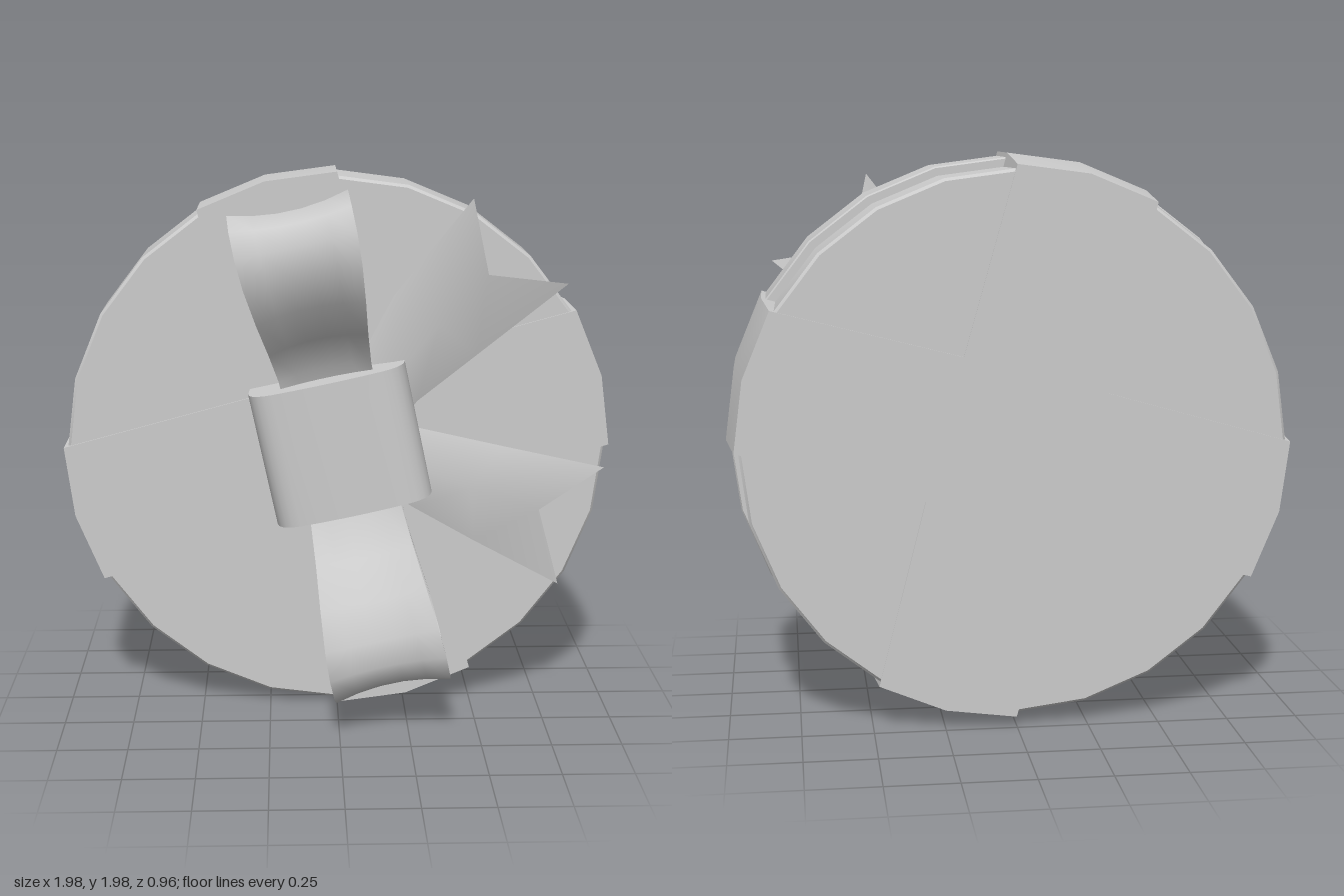
import * as THREE from 'three';
import { toCreasedNormals } from 'three/addons/utils/BufferGeometryUtils.js';

const SIDES = 24, CY = 1;
const material = new THREE.MeshStandardMaterial({ color: 0xcccccc });
const thin = new THREE.MeshStandardMaterial({ color: 0xcccccc, side: THREE.DoubleSide });

function add(parent, name, geometry, crease = 0.6, mat = material) {
  const mesh = new THREE.Mesh(toCreasedNormals(geometry, crease), mat);
  mesh.name = name;
  parent.add(mesh);
  return mesh;
}

// Skin a grid of points; each row may close on itself
function skin(rows, closed = false) {
  const n = rows[0].length, index = [];
  for (let r = 0; r < rows.length - 1; r++) {
    for (let c = 0; c < (closed ? n : n - 1); c++) {
      const d = (c + 1) % n, a = r * n + c, b = r * n + d;
      index.push(a, b, a + n, b, b + n, a + n);
    }
  }
  const g = new THREE.BufferGeometry();
  g.setAttribute('position', new THREE.Float32BufferAttribute(rows.flat(2), 3));
  g.setIndex(index);
  g.computeVertexNormals();
  return g;
}

// Round part turned about the z axis, profile as [radius, z]
function drum(profile) {
  return new THREE.LatheGeometry(profile.map(p => new THREE.Vector2(...p)), SIDES)
    .rotateX(Math.PI / 2).translate(0, CY, 0);
}

// Cross of two bands that wraps the box, following its facets
function wrapGeometry() {
  const shape = new THREE.Shape(), R = 0.992, step = Math.PI / 12;
  const inner = R * Math.sin(step) * Math.SQRT2;
  for (let k = 0; k < 4; k++) {
    const start = k * Math.PI / 2;
    for (let i = 0; i < 3; i++) {
      const a = start + i * step;
      const p = [R * Math.cos(a), R * Math.sin(a)];
      if (k + i === 0) shape.moveTo(...p); else shape.lineTo(...p);
    }
    const a = start + step + Math.PI / 4;
    shape.lineTo(inner * Math.cos(a), inner * Math.sin(a));
  }
  shape.closePath();
  const g = new THREE.ExtrudeGeometry(shape, { depth: 0.555, steps: 2, bevelEnabled: false });
  g.translate(0, 0, -0.482);
  // The band ends draw in toward the back
  const p = g.attributes.position;
  for (let i = 0; i < p.count; i++) {
    if (p.getZ(i) < -0.4 && Math.hypot(p.getX(i), p.getY(i)) > 0.6) {
      p.setXY(i, p.getX(i) * 0.967, p.getY(i) * 0.967);
    }
  }
  return g.translate(0, CY, 0);
}

// Teardrop bow loop: a thick strip with a slightly hollow middle
function loopGeometry() {
  const path = [[0.15, 0.09], [0.4, 0.09], [0.65, 0.09], [0.78, 0.12], [0.85, 0.21], [0.88, 0.34],
    [0.84, 0.425], [0.76, 0.46], [0.66, 0.455], [0.53, 0.39], [0.4, 0.28], [0.28, 0.18], [0.15, 0.15]];
  const across = [-1, -0.6, -0.2, 0.2, 0.6, 1], half = 0.018;
  const rows = path.map(([v, z], i) => {
    const a = path[Math.max(i - 1, 0)], b = path[Math.min(i + 1, path.length - 1)];
    const len = Math.hypot(b[0] - a[0], b[1] - a[1]);
    const nv = (b[1] - a[1]) / len, nz = (a[0] - b[0]) / len;
    const width = 0.165 + 0.045 * THREE.MathUtils.smoothstep(v, 0.2, 0.8);
    const hollow = z > 0.13 ? 0.03 : 0;
    const point = (s, side) => {
      const off = side * half - hollow * (1 - s * s);
      return [s * width, v + nv * off, z + nz * off];
    };
    return [...across.map(s => point(s, 1)), ...across.slice().reverse().map(s => point(s, -1))];
  });
  return skin(rows.reverse(), true);
}

// Knot: arched band across the bow
function knotGeometry() {
  const s = new THREE.Shape();
  s.moveTo(-0.28, -0.07);
  s.lineTo(0.28, -0.07);
  s.lineTo(0.285, -0.16);
  s.quadraticCurveTo(0.28, -0.245, 0.2, -0.26);
  s.quadraticCurveTo(0, -0.285, -0.2, -0.26);
  s.quadraticCurveTo(-0.28, -0.245, -0.285, -0.16);
  s.closePath();
  return new THREE.ExtrudeGeometry(s, { depth: 0.49, bevelEnabled: false, curveSegments: 5 })
    .translate(0, 0, -0.245).rotateX(-Math.PI / 2).scale(1, 1, 1);
}

export function createModel() {
  const model = new THREE.Group();
  model.name = 'roundGiftBox';

  // Box body and overlapping lid
  add(model, 'boxBase', drum([[0, -0.478], [0.935, -0.478], [0.945, -0.468], [0.945, -0.15]]), 0.5);
  add(model, 'boxLid', drum([[0.9, -0.208], [0.972, -0.208], [0.977, -0.2], [0.977, 0.055],
    [0.967, 0.066], [0, 0.066]]), 0.5);
  add(model, 'wrappingRibbon', wrapGeometry(), 0.5);

  // Tilted bow
  const bow = new THREE.Group();
  bow.name = 'bow';
  bow.position.set(0.01, 1.033, 0);
  bow.rotation.z = THREE.MathUtils.degToRad(12);
  model.add(bow);
  add(bow, 'upperLoop', loopGeometry(), 0.9);
  add(bow, 'lowerLoop', loopGeometry(), 0.9).rotation.z = Math.PI;
  // Knot section is drawn in x and -z, so turn it to face the front
  add(bow, 'knot', knotGeometry().rotateX(Math.PI).scale(1, 1, 1).rotateX(0), 0.7).rotation.set(0, 0, 0);
  const knot = bow.getObjectByName('knot');
  knot.geometry.computeBoundingBox();
  const box = knot.geometry.boundingBox;
  // Stand the knot upright on the bow axis
  if (box.max.z < 0 || box.max.y - box.min.y < 0.4) knot.rotation.x = Math.PI;

  // Folded, notched tails: rows of edge, ridge, edge
  add(model, 'upperTail', skin([
    [[0.06, 1.22, 0.08], [0.12, 1.14, 0.12], [0.2, 1.06, 0.08]],
    [[0.1, 1.36, 0.09], [0.2, 1.27, 0.14], [0.29, 1.17, 0.085]],
    [[0.2, 1.56, 0.12], [0.36, 1.46, 0.16], [0.5, 1.34, 0.1]],
    [[0.47, 1.91, 0.2], [0.53, 1.64, 0.175], [0.82, 1.6, 0.125]],
  ]), 1, thin);
  add(model, 'lowerTail', skin([
    [[0.15, 1.1, 0.08], [0.15, 1.0, 0.11], [0.15, 0.85, 0.08]],
    [[0.3, 1.07, 0.09], [0.3, 0.93, 0.13], [0.28, 0.77, 0.085]],
    [[0.6, 1.01, 0.13], [0.48, 0.86, 0.16], [0.5, 0.65, 0.11]],
    [[0.96, 0.94, 0.175], [0.73, 0.78, 0.165], [0.81, 0.49, 0.14]],
  ]), 1, thin);
  return model;
}
